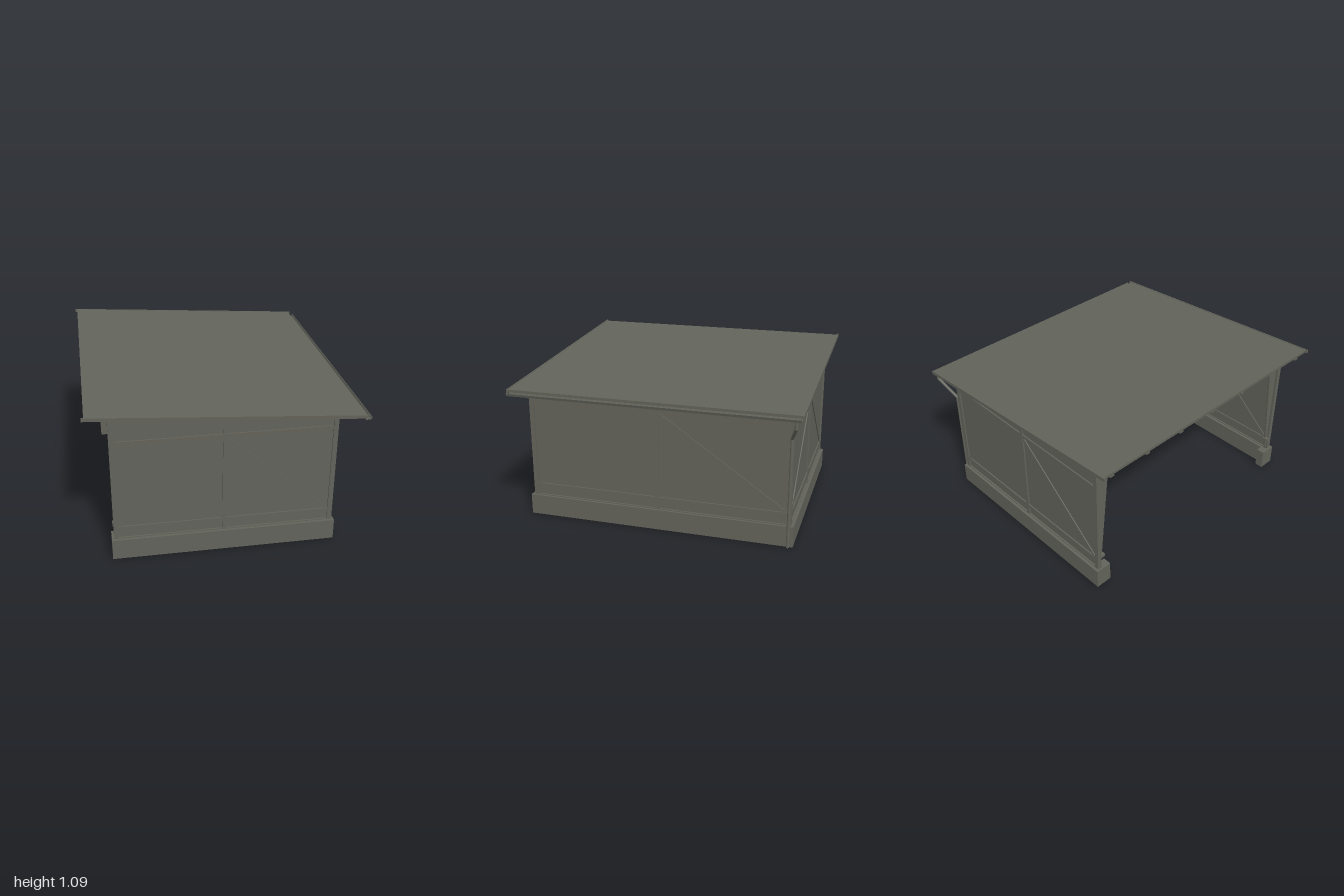
import * as THREE from 'three';

const grey = new THREE.MeshStandardMaterial({ color: 0x62635a });
grey.name = 'weathered grey';

// Height of the roof's upper surface, falling towards +x
const roofY = (x) => 1.0265 - 0.069 * x;
const UNDER = 0.055; // roof surface to underside of rafters

function add(parent, name, geometry) {
  const mesh = new THREE.Mesh(geometry, grey);
  mesh.name = name;
  parent.add(mesh);
  return mesh;
}

// Box from its limits on each axis
function box(parent, name, x0, x1, y0, y1, z0, z1) {
  const m = add(parent, name, new THREE.BoxGeometry(x1 - x0, y1 - y0, z1 - z0));
  m.position.set((x0 + x1) / 2, (y0 + y1) / 2, (z0 + z1) / 2);
  return m;
}

// Profile in x,y extruded between two z values
function prism(parent, name, points, z0, z1) {
  const shape = new THREE.Shape(points.map(([x, y]) => new THREE.Vector2(x, y)));
  const g = new THREE.ExtrudeGeometry(shape, { depth: z1 - z0, bevelEnabled: false });
  const m = add(parent, name, g);
  m.position.z = z0;
  return m;
}

// Sloping member parallel to the roof, from `top` to `bottom` below its surface
function sloped(parent, name, x0, x1, top, bottom, z0, z1) {
  prism(parent, name, [
    [x0, roofY(x0) - bottom], [x1, roofY(x1) - bottom],
    [x1, roofY(x1) - top], [x0, roofY(x0) - top],
  ], z0, z1);
}

// Diagonal brace in the x,y plane
function brace(parent, ax, ay, bx, by) {
  const m = add(parent, 'brace', new THREE.BoxGeometry(Math.hypot(bx - ax, by - ay), 0.022, 0.024));
  m.position.set((ax + bx) / 2, (ay + by) / 2, 0);
  m.rotation.z = Math.atan2(by - ay, bx - ax);
}

// Timber-framed wall around z = 0; topAt gives the height of its upper edge
function framedWall(name, x0, x1, mid, topAt) {
  const wall = new THREE.Group();
  wall.name = name;
  const D = 0.016, P = 0.03, base = 0.14;
  prism(wall, 'panel', [[x0, base], [x1, base], [x1, topAt(x1)], [x0, topAt(x0)]], -0.005, 0.005);
  for (const [a, b] of [[x0, x0 + P], [mid - 0.014, mid + 0.014], [x1 - P, x1]]) {
    prism(wall, 'post', [[a, base], [b, base], [b, topAt(b)], [a, topAt(a)]], -D, D);
  }
  box(wall, 'sill', x0, x1, base, 0.152, -D, D);
  box(wall, 'lowerRail', x0, x1, 0.21, 0.236, -0.014, 0.014);
  box(wall, 'upperRail', x0, x1, 0.842, 0.868, -0.014, 0.014);
  brace(wall, x0 + 0.04, 0.236, mid, 0.842);
  brace(wall, x1 - 0.04, 0.236, mid, 0.842);
  return wall;
}

// Round pipe through straight runs, with balls at the elbows
function pipe(parent, points, r) {
  const up = new THREE.Vector3(0, 1, 0);
  for (let i = 0; i + 1 < points.length; i++) {
    const d = points[i + 1].clone().sub(points[i]);
    const m = add(parent, 'downpipe', new THREE.CylinderGeometry(r, r, d.length(), 12));
    m.position.copy(points[i]).addScaledVector(d, 0.5);
    m.quaternion.setFromUnitVectors(up, d.normalize());
    if (i) add(parent, 'pipeElbow', new THREE.SphereGeometry(r, 12, 8)).position.copy(points[i]);
  }
}

export function createModel() {
  const model = new THREE.Group();
  model.name = 'openShed';

  // Plinth on three sides, with piers beside the open side
  box(model, 'rightPlinth', 0.665, 0.735, 0, 0.145, -0.945, 0.945);
  for (const s of [-1, 1]) {
    const zs = (a, b) => (s > 0 ? [a, b] : [-b, -a]);
    box(model, 'sidePlinth', -0.78, 0.67, 0, 0.145, ...zs(0.875, 0.945));
    box(model, 'plinthPier', -0.78, -0.72, 0, 0.145, ...zs(0.83, 0.944));
  }

  // Front, back and right walls
  const underRoof = (x) => roofY(x) - UNDER + 0.003;
  for (const z of [0.909, -0.909]) {
    const wall = framedWall(z > 0 ? 'frontWall' : 'backWall', -0.765, 0.72, -0.025, underRoof);
    wall.position.z = z;
    model.add(wall);
  }
  const right = framedWall('rightWall', -0.924, 0.924, 0, () => 0.922);
  box(right, 'topPlate', -0.924, 0.924, 0.886, 0.922, -0.016, 0.016);
  right.position.x = 0.704;
  right.rotation.y = Math.PI / 2;
  model.add(right);

  // Open side: header beam and narrow tapered jambs with catches
  box(model, 'headerBeam', -0.765, -0.733, 0.95, 1.022, -0.92, 0.92);
  for (const s of [-1, 1]) {
    const jamb = prism(model, 'taperedJamb', [
      [-0.9 * s, 0.145], [-0.9 * s, 0.955], [-0.81 * s, 0.955], [-0.885 * s, 0.145],
    ], -0.006, 0.006);
    jamb.position.set(-0.749, 0, 0);
    jamb.rotation.y = Math.PI / 2;
    const z = 0.885 * s;
    box(model, 'catch', -0.77, -0.73, 0.235, 0.255, z - 0.02, z + 0.02);
  }

  // Rafters
  for (let i = -3; i <= 3; i++) {
    const z = i * 0.303;
    sloped(model, 'rafter', -0.89, 0.86, 0.018, UNDER, z - 0.016, z + 0.016);
  }

  // Roof deck and end trims
  sloped(model, 'roof', -0.905, 0.875, 0.003, 0.022, -0.995, 0.995);
  for (const s of [-1, 1]) {
    sloped(model, 'roofTrim', -0.92, 0.89, 0, 0.024, s * 0.995 - 0.005, s * 0.995 + 0.005);
  }

  // Gutter trough along the low edge
  prism(model, 'gutter', [
    [0.868, 0.946], [0.874, 0.928], [0.909, 0.928], [0.915, 0.946],
    [0.911, 0.946], [0.906, 0.932], [0.877, 0.932], [0.872, 0.946],
  ], -0.99, 0.99);

  // Downpipe at the back right corner
  pipe(model, [
    new THREE.Vector3(0.896, 0.932, -0.956),
    new THREE.Vector3(0.896, 0.88, -0.956),
    new THREE.Vector3(0.744, 0.765, -0.912),
    new THREE.Vector3(0.744, 0, -0.912),
  ], 0.011);

  return model;
}
